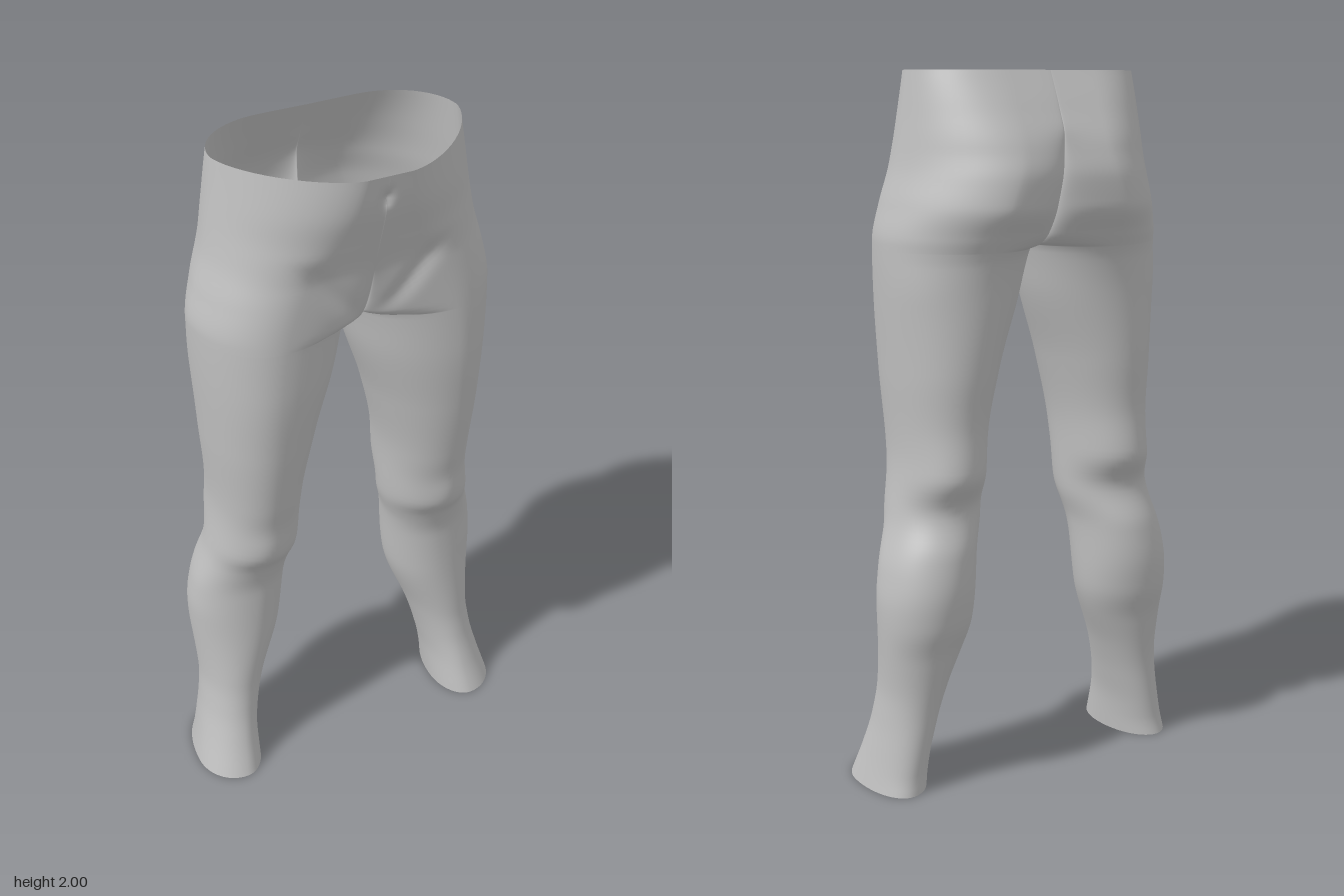
import * as THREE from 'three';
import { mergeVertices } from 'three/addons/utils/BufferGeometryUtils.js';

const CROTCH = 1.53;

// Smooth monotone curve through [height, value] keys
function profile(keys) {
  const n = keys.length;
  const slope = (i) => (keys[i + 1][1] - keys[i][1]) / (keys[i + 1][0] - keys[i][0]);
  const tangent = (i) => {
    if (i === 0) return slope(0);
    if (i === n - 1) return slope(n - 2);
    const a = slope(i - 1), b = slope(i);
    return a * b <= 0 ? 0 : (2 * a * b) / (a + b);
  };
  return (y) => {
    let i = 0;
    while (i < n - 2 && y > keys[i + 1][0]) i++;
    const h = keys[i + 1][0] - keys[i][0];
    const t = THREE.MathUtils.clamp((y - keys[i][0]) / h, 0, 1);
    const t2 = t * t, t3 = t2 * t;
    return (2 * t3 - 3 * t2 + 1) * keys[i][1] + (t3 - 2 * t2 + t) * h * tangent(i)
      + (3 * t2 - 2 * t3) * keys[i + 1][1] + (t3 - t2) * h * tangent(i + 1);
  };
}

// Silhouettes of the left half: outer and inner x, front and back z
const outerX = profile([[0, 0.51], [0.1, 0.485], [0.2, 0.465], [0.3, 0.455], [0.55, 0.466], [0.65, 0.455],
  [0.8, 0.415], [0.98, 0.395], [1.2, 0.408], [1.55, 0.425], [1.65, 0.405], [1.75, 0.378], [1.85, 0.362], [2, 0.342]]);
const innerX = profile([[0, 0.318], [0.1, 0.312], [0.2, 0.293], [0.3, 0.265], [0.5, 0.195], [0.7, 0.175],
  [0.8, 0.15], [1, 0.135], [1.2, 0.093], [1.4, 0.03], [1.48, 0.012], [CROTCH, 0]]);
const frontZ = profile([[0, 0.185], [0.1, 0.148], [0.2, 0.12], [0.3, 0.106], [0.65, 0.095], [0.75, 0.117],
  [0.82, 0.152], [0.9, 0.157], [1, 0.175], [1.2, 0.202], [1.4, 0.215], [1.7, 0.212], [1.8, 0.235], [1.9, 0.265], [2, 0.283]]);
const backZ = profile([[0, -0.125], [0.05, -0.118], [0.2, -0.12], [0.4, -0.147], [0.5, -0.175], [0.6, -0.185],
  [0.7, -0.177], [0.82, -0.145], [0.92, -0.187], [1.05, -0.178], [1.2, -0.188], [1.4, -0.195], [1.5, -0.207],
  [1.57, -0.24], [1.65, -0.28], [1.72, -0.283], [1.8, -0.265], [1.9, -0.22], [2, -0.17]]);

// Where the front, back and outer extremes sit on each section
const frontX = profile([[0, 0.4], [0.3, 0.36], [0.5, 0.32], [0.85, 0.28], [1.2, 0.27], [1.5, 0.25], [1.7, 0.19], [1.85, 0.1], [2, 0.06]]);
const backX = profile([[0, 0.42], [0.3, 0.36], [0.55, 0.33], [0.85, 0.28], [1.2, 0.25], [1.5, 0.2], [1.65, 0.17], [1.8, 0.13], [2, 0.14]]);
const sideZ = profile([[0, 0.06], [0.2, 0], [0.5, -0.04], [0.85, 0], [1.2, 0.01], [CROTCH, 0], [2, 0]]);

// Centre line above the crotch, and how pointed the hip corners are
const bellyZ = profile([[CROTCH, 0], [1.54, 0.09], [1.56, 0.145], [1.62, 0.18], [1.7, 0.207], [1.8, 0.238], [1.9, 0.267], [2, 0.283]]);
const cleftZ = profile([[CROTCH, 0], [1.54, -0.09], [1.57, -0.15], [1.65, -0.2], [1.75, -0.235], [1.83, -0.24], [1.9, -0.215], [2, -0.168]]);
const frontPower = profile([[0, 1], [1.6, 1], [2, 1.35]]);
const backPower = profile([[0, 1], [1.4, 1], [1.65, 1.25], [2, 1]]);

// Quarter arc from a to b; startsAlongZ sets the direction in which it leaves a
function quarter(a, b, t, startsAlongZ, power = 1) {
  const s = Math.pow(Math.sin(t * Math.PI / 2), power);
  const c = 1 - Math.pow(Math.max(0, Math.cos(t * Math.PI / 2)), power);
  const [kx, kz] = startsAlongZ ? [c, s] : [s, c];
  return [a[0] + (b[0] - a[0]) * kx, a[1] + (b[1] - a[1]) * kz];
}

const bump = (d, width) => Math.exp(-(d * d) / (width * width));

// Section point, u from 0 (inner or front centre) around the outside to 4
function sectionPoint(y, u) {
  const above = y > CROTCH;
  const ix = above ? 0 : innerX(y);
  const sz = sideZ(y);
  const start = [ix, above ? bellyZ(y) : sz];
  const front = [frontX(y), frontZ(y)];
  const outer = [outerX(y), sz];
  const back = [backX(y), backZ(y)];
  const end = [ix, above ? cleftZ(y) : sz];
  const k = Math.min(3, Math.floor(u)), t = u - k;
  let p;
  if (k === 0) p = quarter(start, front, t, true);
  else if (k === 1) p = quarter(front, outer, t, false, frontPower(y));
  else if (k === 2) p = quarter(outer, back, t, true, backPower(y));
  else p = quarter(back, end, t, false);
  if (u < 2) {
    // groin crease, navel and kneecap
    const along = THREE.MathUtils.clamp((y - 1.56) / 0.22, 0, 1);
    p[1] -= 0.012 * bump(p[0] - 0.04 - 0.16 * along, 0.035) * Math.sin(Math.PI * along);
    p[1] -= 0.014 * bump(p[0], 0.014) * bump(y - 1.935, 0.016);
    if (u > 0) p[1] += 0.006 * bump(p[0] - 0.29, 0.05) * bump(y - 0.86, 0.05);
  }
  return p;
}

// Both mirrored halves in one welded skin, open at the waist and ankles
function bodyGeometry() {
  const rows = [];
  for (let i = 0; i < 80; i++) rows.push(CROTCH * i / 80);
  for (let i = 0; i <= 40; i++) rows.push(CROTCH + (2 - CROTCH) * Math.pow(i / 40, 1.5));
  const cols = 64, positions = [], indices = [];
  for (const side of [1, -1]) {
    const base = positions.length / 3;
    rows.forEach((y, i) => {
      for (let j = 0; j <= cols; j++) {
        const [x, z] = sectionPoint(y, 4 * j / cols);
        positions.push(side * x, y, z);
        if (i === rows.length - 1 || j === cols) continue;
        const a = base + i * (cols + 1) + j, b = a + 1, c = a + cols + 1, d = c + 1;
        if (side > 0) indices.push(a, b, d, a, d, c);
        else indices.push(a, d, b, a, c, d);
      }
    });
  }
  const geometry = new THREE.BufferGeometry();
  geometry.setAttribute('position', new THREE.Float32BufferAttribute(positions, 3));
  geometry.setIndex(indices);
  const welded = mergeVertices(geometry, 1e-5);
  welded.computeVertexNormals();
  return welded;
}

export function createModel() {
  const grey = new THREE.MeshStandardMaterial({ color: 0xbfbfbf, side: THREE.DoubleSide });
  grey.name = 'grey';
  const group = new THREE.Group();
  group.name = 'lowerBody';
  const skin = new THREE.Mesh(bodyGeometry(), grey);
  skin.name = 'hipsAndLegs';
  group.add(skin);
  return group;
}
